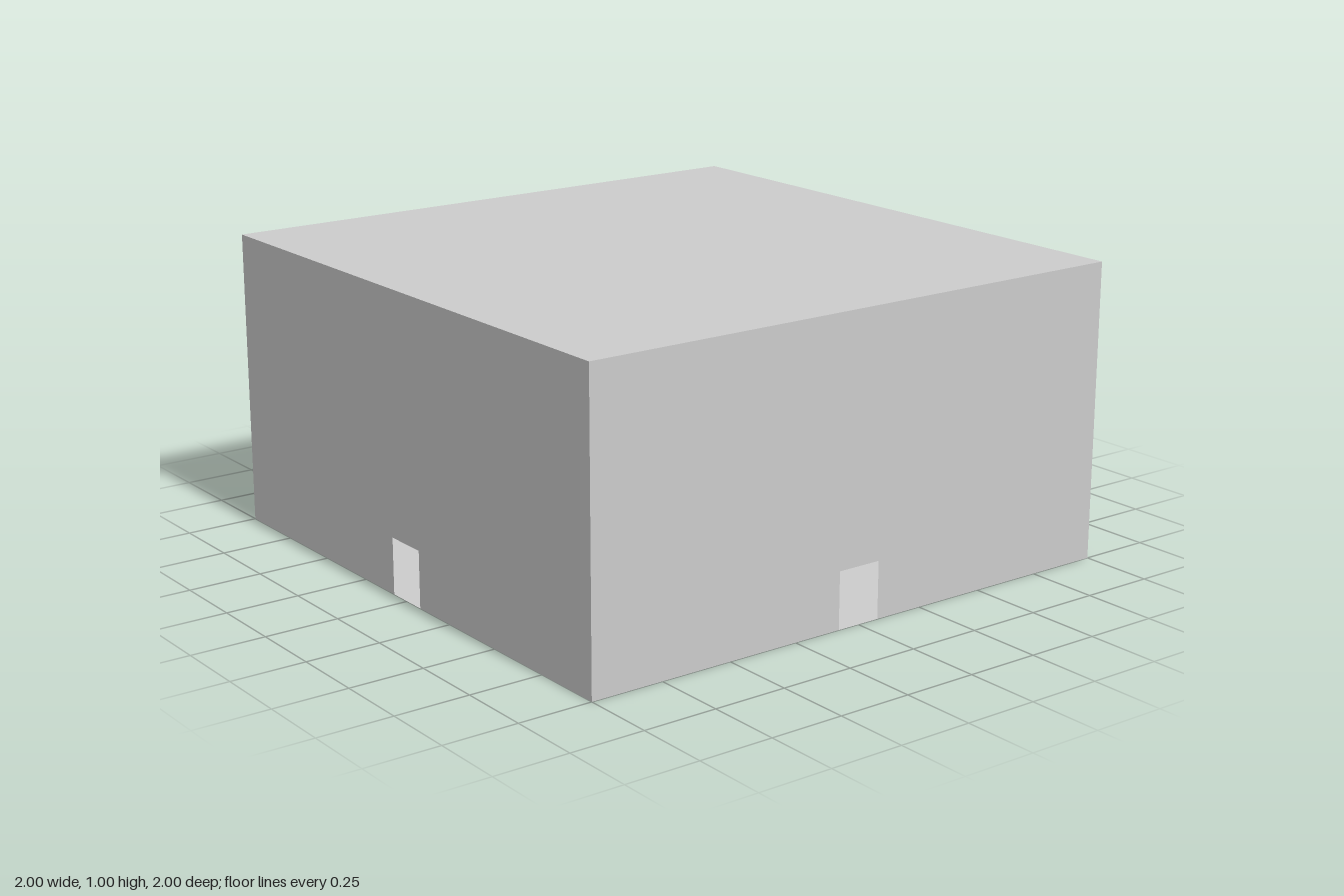
import * as THREE from 'three';

const grey = new THREE.MeshStandardMaterial({ color: 0xcccccc, side: THREE.DoubleSide });
const wood = new THREE.MeshStandardMaterial({ color: 0x5a2a1c });

const DOOR_HALF = 0.078;
const DOOR_HEIGHT = 0.19;

function addBox(parent, name, size, position, material = grey) {
  const mesh = new THREE.Mesh(new THREE.BoxGeometry(...size), material);
  mesh.name = name;
  mesh.position.set(...position);
  parent.add(mesh);
}

// Thin wall with a doorway cut up from its bottom edge
function wallGeometry() {
  const shape = new THREE.Shape([
    [-1, 0], [-DOOR_HALF, 0], [-DOOR_HALF, DOOR_HEIGHT], [DOOR_HALF, DOOR_HEIGHT],
    [DOOR_HALF, 0], [1, 0], [1, 1], [-1, 1],
  ].map(([x, y]) => new THREE.Vector2(x, y)));
  return new THREE.ShapeGeometry(shape).translate(0, 0, 1);
}

// Small pedestal table
function smallTable(x, z) {
  const table = new THREE.Group();
  table.name = 'smallTable';
  addBox(table, 'tableTop', [0.036, 0.006, 0.036], [0, 0.027, 0], wood);
  addBox(table, 'tableStem', [0.01, 0.024, 0.01], [0, 0.012, 0], wood);
  table.position.set(x, 0, z);
  return table;
}

export function createModel() {
  const model = new THREE.Group();
  model.name = 'hall';

  // Four identical walls around the hall
  const wall = wallGeometry();
  ['frontWall', 'leftWall', 'backWall', 'rightWall'].forEach((name, i) => {
    const mesh = new THREE.Mesh(wall, grey);
    mesh.name = name;
    mesh.rotation.y = i * Math.PI / 2;
    model.add(mesh);
  });

  // Floor faces down and roof faces up, both seen from inside too
  for (const [name, y, turn] of [['floor', 0, 1], ['roof', 1, -1]]) {
    const mesh = new THREE.Mesh(new THREE.PlaneGeometry(2, 2), grey);
    mesh.name = name;
    mesh.rotation.x = turn * Math.PI / 2;
    mesh.position.y = y;
    model.add(mesh);
  }

  // Gallery along the left wall
  addBox(model, 'gallery', [0.19, 0.02, 1.98], [0.895, 0.745, 0]);

  // Serving stall: counter, posts and canopy
  const stall = new THREE.Group();
  stall.name = 'stall';
  addBox(stall, 'counter', [0.4, 0.08, 0.04], [0, 0.04, 0]);
  addBox(stall, 'canopy', [0.4, 0.012, 0.1], [0, 0.186, 0]);
  for (const x of [-0.18, 0, 0.18]) addBox(stall, 'post', [0.014, 0.1, 0.014], [x, 0.13, 0]);
  stall.position.z = -0.5;
  model.add(stall);

  // Long table on end legs
  const longTable = new THREE.Group();
  longTable.name = 'longTable';
  addBox(longTable, 'longTableTop', [0.1, 0.005, 0.28], [0, 0.055, 0]);
  for (const z of [-0.12, 0.12]) addBox(longTable, 'longTableLeg', [0.08, 0.053, 0.012], [0, 0.0265, z]);
  longTable.position.x = -0.3;
  model.add(longTable);

  // Small tables about the room
  for (const [x, z] of [[0.2, 0.052], [0.4, 0], [0.1, -0.045], [0.8, 0.21], [-0.24, -0.8]]) {
    model.add(smallTable(x, z));
  }

  return model;
}
